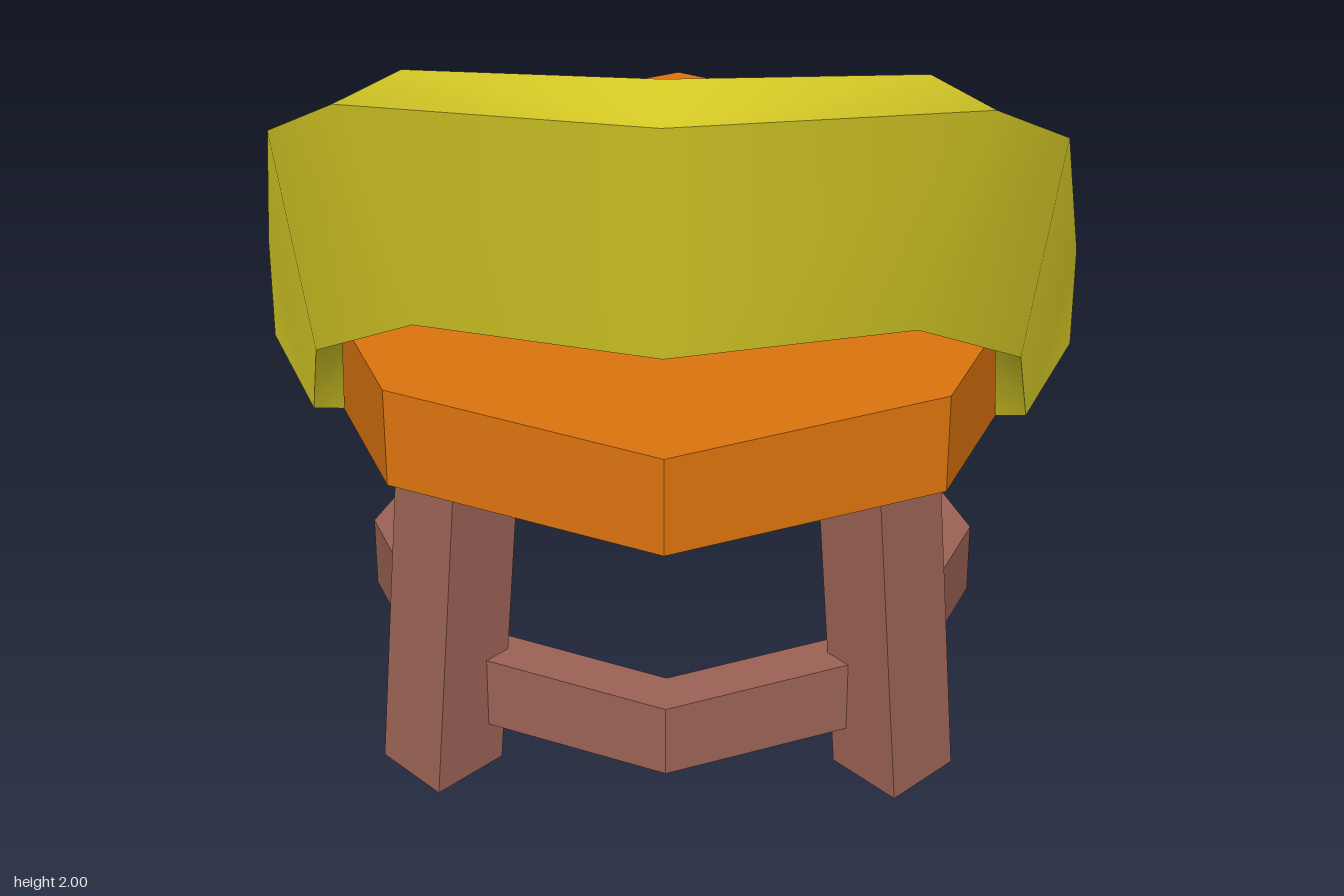
import * as THREE from 'three';
import { toCreasedNormals } from 'three/addons/utils/BufferGeometryUtils.js';

const CENTER_Z = -0.12; // axis of seat, legs and ring

function createBackrestGeometry() {
  // Half of the shell, from the left end to the middle.
  // Corners of each section: outer top, outer bottom, inner bottom, inner top
  const half = [
    [[0.935, 1.085, -0.12], [0.935, 0.83, -0.12], [0.87, 0.83, -0.12], [0.87, 1.085, -0.12]],
    [[0.935, 1.085, -0.12], [0.81, 0.83, 0.19], [0.74, 0.83, 0.19], [0.87, 1.085, -0.12]],
    [[0.85, 1.63, 0.335], [0.775, 1.085, 0.345], [0.72, 1.085, 0.31], [0.755, 1.63, 0.315]],
    [[0.66, 1.9, 0.715], [0.53, 1.325, 0.62], [0.47, 1.325, 0.52], [0.535, 1.9, 0.565]],
    [[0, 2, 0.985], [0, 1.38, 0.83], [0, 1.38, 0.69], [0, 2, 0.785]],
  ];
  const mirrored = half.slice(0, -1).reverse().map((s) => s.map(([x, y, z]) => [-x, y, z]));
  const sections = [...half, ...mirrored];
  const positions = [];
  const same = (p, q) => p.every((v, i) => v === q[i]);
  const tri = (p, q, r) => {
    if (!same(p, q) && !same(q, r) && !same(r, p)) positions.push(...p, ...q, ...r);
  };
  for (let i = 0; i < sections.length - 1; i++) {
    const a = sections[i], b = sections[i + 1];
    for (let k = 0; k < 4; k++) {
      const n = (k + 1) % 4;
      if (i < half.length - 1) {
        tri(a[k], b[k], b[n]);
        tri(a[k], b[n], a[n]);
      } else { // mirrored diagonal
        tri(a[k], b[k], a[n]);
        tri(b[k], b[n], a[n]);
      }
    }
  }
  // End caps
  const s = sections[0], e = sections[sections.length - 1];
  tri(s[0], s[1], s[2]);
  tri(s[0], s[2], s[3]);
  tri(e[0], e[2], e[1]);
  tri(e[0], e[3], e[2]);
  const geometry = new THREE.BufferGeometry();
  geometry.setAttribute('position', new THREE.Float32BufferAttribute(positions, 3));
  return toCreasedNormals(geometry, THREE.MathUtils.degToRad(50));
}

function octagonPoints(radius) {
  return Array.from({ length: 8 }, (_, i) => {
    const a = (i * Math.PI) / 4;
    return new THREE.Vector2(radius * Math.cos(a), radius * Math.sin(a));
  });
}

// Square post turned 45 degrees, leaning inward, with level ends
function createLegGeometry(signX, signZ) {
  const height = 0.83;
  const geometry = new THREE.BoxGeometry(0.195, height, 0.195);
  geometry.rotateY(Math.PI / 4);
  geometry.translate(0, height / 2, 0);
  const p = geometry.attributes.position;
  for (let i = 0; i < p.count; i++) {
    const offset = 0.527 - 0.057 * (p.getY(i) / height);
    p.setX(i, p.getX(i) + signX * offset);
    p.setZ(i, p.getZ(i) + signZ * offset + CENTER_Z);
  }
  geometry.computeVertexNormals();
  return geometry;
}

export function createModel() {
  const model = new THREE.Group();
  model.name = 'chair';

  const orange = new THREE.MeshStandardMaterial({ color: 0xdc740e });
  orange.name = 'seat orange';
  const yellow = new THREE.MeshStandardMaterial({ color: 0xe0d328 });
  yellow.name = 'backrest yellow';
  const brown = new THREE.MeshStandardMaterial({ color: 0x9c6355 });
  brown.name = 'leg brown';

  const add = (name, geometry, material) => {
    const mesh = new THREE.Mesh(geometry, material);
    mesh.name = name;
    model.add(mesh);
    return mesh;
  };

  // Octagonal seat with hard edges
  const seat = toCreasedNormals(new THREE.CylinderGeometry(0.87, 0.87, 0.25, 8), 0.3);
  add('seat', seat, orange).position.set(0, 0.955, CENTER_Z);

  // Curved backrest shell
  add('backrest', createBackrestGeometry(), yellow);

  // Four splayed legs
  for (const [zName, sz] of [['front', 1], ['back', -1]]) {
    for (const [xName, sx] of [['Left', 1], ['Right', -1]]) {
      add(`${zName}${xName}Leg`, createLegGeometry(sx, sz), brown);
    }
  }

  // Octagonal foot ring
  const outline = new THREE.Shape(octagonPoints(0.725));
  outline.holes.push(new THREE.Path(octagonPoints(0.61)));
  const ring = new THREE.ExtrudeGeometry(outline, { depth: 0.185, bevelEnabled: false });
  ring.rotateX(-Math.PI / 2);
  add('footRing', ring, brown).position.set(0, 0.115, CENTER_Z);

  return model;
}
